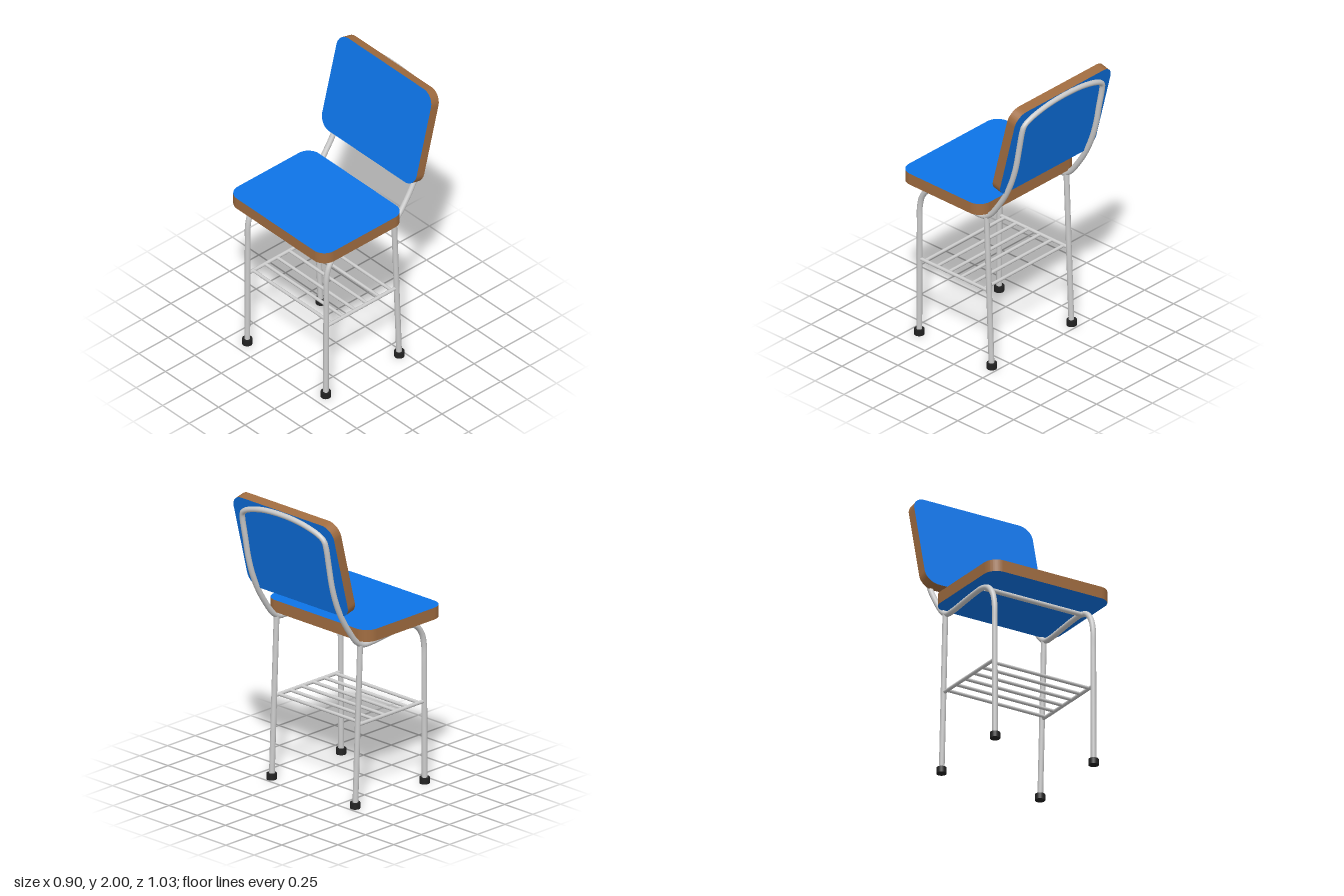
import * as THREE from 'three';
import { toCreasedNormals } from 'three/addons/utils/BufferGeometryUtils.js';

const mat = (color) => new THREE.MeshStandardMaterial({ color });
const V = (x, y, z) => new THREE.Vector3(x, y, z);

export function createModel() {
  const model = new THREE.Group();
  const steel = mat(0xcccccc), blue = mat(0x0d74e7), wood = mat(0xa06c40), rubber = mat(0x222222);
  const X = 0.37; // half the spacing of the legs

  const add = (name, geometry, material, parent = model) => {
    const mesh = new THREE.Mesh(geometry, material);
    mesh.name = name;
    parent.add(mesh);
    return mesh;
  };

  // Rounded panel centred on its outline, from z = 0 to z = depth
  const panel = (w, h, r, depth) => {
    const a = w / 2 - r, b = h / 2 - r;
    const s = new THREE.Shape();
    s.absarc(a, b, r, 0, Math.PI / 2);
    s.absarc(-a, b, r, Math.PI / 2, Math.PI);
    s.absarc(-a, -b, r, Math.PI, Math.PI * 1.5);
    s.absarc(a, -b, r, Math.PI * 1.5, Math.PI * 2);
    s.closePath();
    const g = new THREE.ExtrudeGeometry(s, { depth, bevelEnabled: false, curveSegments: 12 });
    return toCreasedNormals(g, 0.6);
  };

  // Straight round rod between two points
  const rod = (name, from, to, radius, parent = model) => {
    const dir = to.clone().sub(from);
    const mesh = add(name, new THREE.CylinderGeometry(radius, radius, dir.length(), 16), steel, parent);
    mesh.position.copy(from).add(to).multiplyScalar(0.5);
    mesh.quaternion.setFromUnitVectors(V(0, 1, 0), dir.normalize());
  };

  // Seat: coloured faces, wooden edge
  const seat = add('seat', panel(0.905, 0.7, 0.09, 0.08), [blue, wood]);
  seat.rotation.x = -Math.PI / 2;
  seat.position.set(0, 1.125, 0.165);

  // Leaning backrest, hinged about the lower edge of its front face
  const backrest = new THREE.Group();
  backrest.name = 'backrest';
  backrest.position.set(0, 1.345, -0.265);
  backrest.rotation.x = -0.247;
  add('backPanel', panel(0.89, 0.675, 0.09, 0.066), [blue, wood], backrest).position.set(0, 0.3375, -0.066);
  model.add(backrest);

  // One bent tube: front leg, seat rail, back upright, top bow and mirrored down again
  const side = [
    [0.01, 0.42], [0.4, 0.418], [0.8, 0.416], [0.94, 0.414], [1.02, 0.393], [1.08, 0.345],
    [1.106, 0.27], [1.105, 0.18], [1.094, 0.05], [1.083, -0.07], [1.086, -0.14], [1.12, -0.195],
    [1.2, -0.257], [1.31, -0.325], [1.42, -0.375], [1.55, -0.415], [1.7, -0.444], [1.83, -0.469],
  ].map(([y, z]) => V(X, y, z));
  side.push(V(0.362, 1.875, -0.478), V(0.325, 1.905, -0.484), V(0.18, 1.948, -0.493));
  const mirrored = side.map((p) => V(-p.x, p.y, p.z)).reverse();
  const path = new THREE.CatmullRomCurve3([...side, V(0, 1.962, -0.496), ...mirrored]);
  add('frameTube', new THREE.TubeGeometry(path, 260, 0.0185, 14), steel);

  // Rear legs, feet and shelf side rails
  const shelf = new THREE.Group();
  shelf.name = 'shelf';
  model.add(shelf);
  for (const x of [-X, X]) {
    rod('rearLeg', V(x, 0.01, -0.205), V(x, 1.09, -0.162), 0.0185);
    for (const z of [0.42, -0.207]) {
      add('foot', new THREE.CylinderGeometry(0.033, 0.033, 0.04, 24), rubber).position.set(x, 0.02, z);
    }
    rod('shelfRail', V(x, 0.555, 0.417), V(x, 0.555, -0.183), 0.012, shelf);
  }

  // Shelf bars
  for (let i = 0; i < 6; i++) {
    const z = 0.37 - i * 0.102;
    rod('shelfBar', V(-X, 0.555, z), V(X, 0.555, z), 0.011, shelf);
  }

  // Cross bar under the seat
  rod('seatCrossBar', V(-X, 1.092, 0.3), V(X, 1.092, 0.3), 0.016);

  return model;
}
